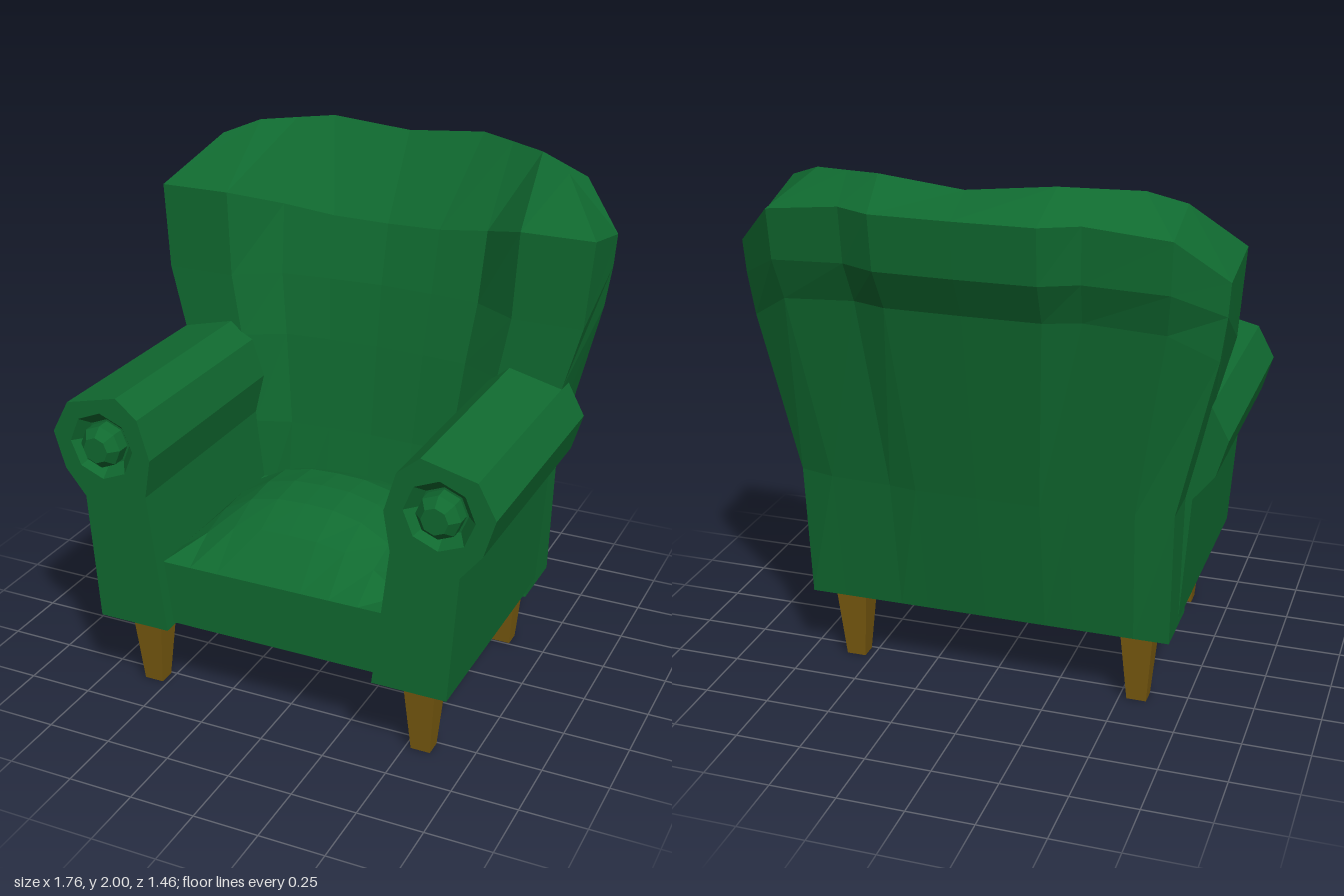
import * as THREE from 'three';

const fabric = new THREE.MeshStandardMaterial({ color: 0x106a30 });
fabric.name = 'green fabric';
const wood = new THREE.MeshStandardMaterial({ color: 0x7a5b10 });
wood.name = 'brown wood';

function part(name, geometry, material, parent) {
  const g = geometry.index ? geometry.toNonIndexed() : geometry;
  g.computeVertexNormals();
  const mesh = new THREE.Mesh(g, material);
  mesh.name = name;
  parent.add(mesh);
  return mesh;
}

// Backrest: closed loops of rows (up the front, over the crest, down the back) across nine columns
function backrestGeometry() {
  // per column from centre to edge: share of half width, blend of y and z from centre to edge
  const front = { x: [0, 0.25, 0.48, 0.68, 1], y: [0, 0.1, 0.4, 1, 1], z: [0, 0.1, 0.25, 1, 1] };
  const crest = { x: [0, 0.44, 0.63, 0.82, 1], y: [0, -0.75, -0.5, -0.25, 1], z: [0, 0.08, 0.35, 0.63, 1] };
  const back = { x: [0, 0.33, 0.48, 0.81, 1], y: [0, 0, 0, 0.2, 1], z: [0, 0.02, 0.27, 0.46, 1] };
  // curve, half width, y centre, y edge, z centre, z edge
  const rows = [
    [front, 0.70, 0.30, 0.30, -0.14, -0.14],
    [front, 0.71, 0.82, 0.82, -0.23, -0.16],
    [front, 0.79, 1.18, 1.18, -0.28, -0.17],
    [front, 0.855, 1.42, 1.42, -0.32, -0.18],
    [front, 0.88, 1.65, 1.75, -0.38, -0.19],
    [crest, 0.71, 1.97, 1.93, -0.58, -0.38],
    [back, 0.88, 1.90, 1.70, -0.73, -0.47],
    [back, 0.872, 1.70, 1.58, -0.71, -0.465],
    [back, 0.85, 1.55, 1.42, -0.63, -0.455],
    [back, 0.71, 0.82, 0.82, -0.49, -0.425],
    [back, 0.70, 0.30, 0.30, -0.40, -0.40],
  ];
  const lerp = THREE.MathUtils.lerp;
  const n = rows.length, positions = [], index = [];
  for (const [c, w, y0, y1, z0, z1] of rows) {
    for (let j = -4; j <= 4; j++) {
      const k = Math.abs(j);
      positions.push(Math.sign(j) * c.x[k] * w, lerp(y0, y1, c.y[k]), lerp(z0, z1, c.z[k]));
    }
  }
  const at = (row, col) => (row % n) * 9 + col;
  const quad = (a, b, c, d) => index.push(a, b, c, a, c, d);
  for (let i = 0; i < n; i++) {
    for (let j = 0; j < 8; j++) quad(at(i, j), at(i, j + 1), at(i + 1, j + 1), at(i + 1, j));
  }
  // side faces
  for (let i = 0; i < 5; i++) {
    const [a, b, c, d] = [i, i + 1, 9 - i, 10 - i];
    if (b === c) {
      index.push(at(a, 8), at(d, 8), at(b, 8), at(a, 0), at(b, 0), at(d, 0));
    } else {
      quad(at(a, 8), at(d, 8), at(c, 8), at(b, 8));
      quad(at(a, 0), at(b, 0), at(c, 0), at(d, 0));
    }
  }
  const g = new THREE.BufferGeometry();
  g.setAttribute('position', new THREE.Float32BufferAttribute(positions, 3));
  g.setIndex(index);
  return g;
}

// Domed cushion top: a grid raised by a rounded rule
function cushionGeometry() {
  const g = new THREE.PlaneGeometry(0.9, 0.84, 8, 6).rotateX(-Math.PI / 2);
  const p = g.attributes.position;
  for (let i = 0; i < p.count; i++) {
    const u = Math.abs(p.getX(i) / 0.45), v = Math.abs(p.getZ(i) / 0.42);
    p.setY(i, 0.58 + 0.22 * (1 - u ** 2.8) * (1 - v ** 2.6));
    p.setZ(i, p.getZ(i) + 0.22);
  }
  return g;
}

// Rolled arm with a recessed button scroll on the front
function addArm(side, parent) {
  const arm = new THREE.Group();
  arm.name = side > 0 ? 'leftArm' : 'rightArm';
  parent.add(arm);
  const outline = () => new THREE.Shape([
    [0.415, 0.32], [0.70, 0.32], [0.735, 0.815], [0.815, 0.915], [0.857, 1.055],
    [0.79, 1.18], [0.585, 1.23], [0.50, 1.16], [0.455, 1.01], [0.48, 0.86],
  ].map(([x, y]) => new THREE.Vector2(x * side, y)));
  const cx = 0.655 * side, cy = 1.03, r = 0.13;
  const ring = [];
  for (let i = 0; i < 8; i++) {
    const a = (i * Math.PI) / 4;
    ring.push(new THREE.Vector2(cx + r * Math.sin(a), cy + r * Math.cos(a)));
  }
  const extrude = (shape, depth, z) =>
    new THREE.ExtrudeGeometry(shape, { depth, bevelEnabled: false }).translate(0, 0, z);
  part('armBody', extrude(outline(), 0.89, -0.25), fabric, arm);
  const face = outline();
  face.holes.push(new THREE.Path(ring));
  part('armFront', extrude(face, 0.05, 0.64), fabric, arm);
  const profile = [[0, 0.73], [0.05, 0.73], [0.082, 0.695], [0.082, 0.645], [0.09, 0.645], [r, 0.69]]
    .map(([x, y]) => new THREE.Vector2(x, y)).reverse();
  const scroll = new THREE.LatheGeometry(profile, 8).rotateX(Math.PI / 2).translate(cx, cy, 0);
  part('armButton', scroll, fabric, arm);
}

// Square tapered leg
function addLeg(name, x, z, parent) {
  const g = new THREE.BoxGeometry(0.13, 0.33, 0.125).translate(x, 0.165, z);
  const p = g.attributes.position;
  for (let i = 0; i < p.count; i++) {
    if (p.getY(i) > 0.1) continue;
    p.setX(i, x + (p.getX(i) - x) * 0.58);
    p.setZ(i, z + (p.getZ(i) - z) * 0.52);
  }
  part(name, g, wood, parent);
}

export function createModel() {
  const chair = new THREE.Group();
  chair.name = 'armchair';

  part('backrest', backrestGeometry(), fabric, chair);
  part('seatBase', new THREE.BoxGeometry(0.94, 0.25, 0.89).translate(0, 0.455, 0.195), fabric, chair);
  part('seatCushion', cushionGeometry(), fabric, chair);

  for (const side of [-1, 1]) {
    const label = side > 0 ? 'Left' : 'Right';
    addArm(side, chair);
    addLeg('front' + label + 'Leg', side * 0.56, 0.54, chair);
    addLeg('back' + label + 'Leg', side * 0.567, -0.29, chair);
  }
  return chair;
}
